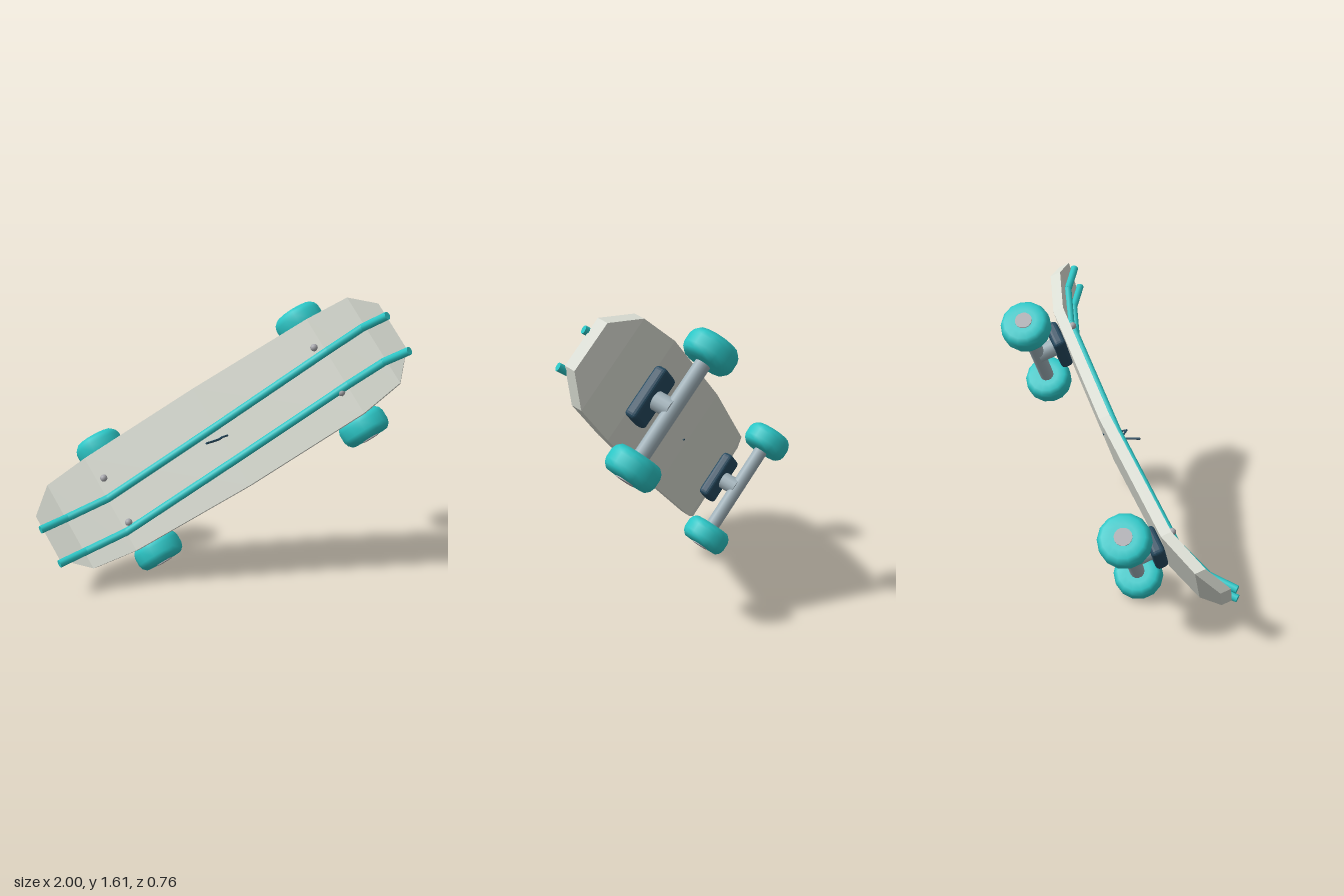
import * as THREE from 'three';
import { RoundedBoxGeometry } from 'three/addons/geometries/RoundedBoxGeometry.js';

function material(name, color, flatShading = false) {
  const m = new THREE.MeshStandardMaterial({ color, flatShading });
  m.name = name;
  return m;
}

function add(parent, name, geometry, mat, x = 0, y = 0, z = 0) {
  const mesh = new THREE.Mesh(geometry, mat);
  mesh.name = name;
  mesh.position.set(x, y, z);
  parent.add(mesh);
  return mesh;
}

// Straight round bars joined through a list of points
function bentBar(parent, name, points, radius, sides, mat) {
  const group = new THREE.Group();
  group.name = name;
  const p = points.map((q) => new THREE.Vector3(...q));
  for (let i = 0; i < p.length - 1; i++) {
    const d = p[i + 1].clone().sub(p[i]);
    const bar = add(group, name + 'Bar', new THREE.CylinderGeometry(radius, radius, d.length(), sides), mat);
    bar.position.copy(p[i]).addScaledVector(d, 0.5);
    bar.quaternion.setFromUnitVectors(new THREE.Vector3(0, 1, 0), d.normalize());
    if (i > 0) add(group, name + 'Joint', new THREE.SphereGeometry(radius, sides, 6), mat, ...points[i]);
  }
  parent.add(group);
}

// Deck lofted through stations of [x, top height, half width]
function deckGeometry() {
  const thickness = 0.06;
  const half = [[0.735, 0.237, 0.3], [0.978, 0.313, 0.268], [1.095, 0.395, 0.138]];
  const stations = [
    ...half.map(([x, y, w]) => [-x, y, w]).reverse(),
    [0, 0.21, 0.314],
    ...half,
  ];
  const rings = stations.map(([x, y, w]) => [
    [x, y, -w], [x, y, w], [x, y - thickness, w], [x, y - thickness, -w],
  ]);
  const pos = [];
  const quad = (a, b, c, d) => pos.push(...a, ...b, ...c, ...a, ...c, ...d);
  for (let i = 0; i < rings.length - 1; i++) {
    for (let k = 0; k < 4; k++) {
      const n = (k + 1) % 4;
      quad(rings[i][k], rings[i][n], rings[i + 1][n], rings[i + 1][k]);
    }
  }
  const first = rings[0], last = rings[rings.length - 1];
  quad(first[3], first[2], first[1], first[0]);
  quad(last[0], last[1], last[2], last[3]);
  const g = new THREE.BufferGeometry();
  g.setAttribute('position', new THREE.Float32BufferAttribute(pos, 3));
  g.computeVertexNormals();
  return g;
}

// Barrel-shaped wheel with flat faces, axis along z
function wheelGeometry() {
  const rim = new THREE.LatheGeometry([
    [0, -0.072], [0.07, -0.072], [0.112, -0.07], [0.132, -0.05], [0.141, -0.025],
    [0.141, 0.025], [0.132, 0.05], [0.112, 0.07], [0.07, 0.072], [0, 0.072],
  ].map(([r, y]) => new THREE.Vector2(r, y)), 14);
  return rim.rotateX(Math.PI / 2);
}

export function createModel() {
  const deckMat = material('paleDeck', 0xdcdfd5, true);
  const teal = material('teal', 0x2bc6c6);
  const navy = material('navy', 0x264a60, true);
  const metal = material('blueGreyMetal', 0x9fb0b8);
  const steel = material('steel', 0xa9a9ae);

  const model = new THREE.Group();
  model.name = 'skateboard';
  const board = new THREE.Group();
  board.name = 'board';
  model.add(board);

  add(board, 'deck', deckGeometry(), deckMat);

  // Two rails along the top of the deck
  for (const z of [-0.055, 0.16]) {
    bentBar(board, 'rail', [
      [-1.095, 0.43, z], [-0.96, 0.326, z + 0.006], [-0.725, 0.25, z + 0.023],
      [0, 0.226, z - 0.006],
      [0.745, 0.252, z - 0.034], [0.965, 0.324, z - 0.03], [1.1, 0.42, z],
    ], 0.022, 10, teal);
  }

  // Thin bent wire through the middle of the deck
  bentBar(board, 'bentWire', [
    [-0.072, 0.325, 0.005], [-0.018, 0.226, 0.009], [0.015, 0.278, 0.015], [0.05, 0.145, 0.01],
  ], 0.006, 6, navy);

  // Trucks: base plate, kingpin, axle, wheels and bolts
  const wheel = wheelGeometry();
  for (const end of [-1, 1]) {
    const truck = new THREE.Group();
    truck.name = end < 0 ? 'rearTruck' : 'frontTruck';
    truck.position.x = 0.69 * end;
    board.add(truck);
    add(truck, 'basePlate', new RoundedBoxGeometry(0.17, 0.075, 0.3, 2, 0.025), navy, 0, 0.138, 0);
    add(truck, 'kingpin', new THREE.CylinderGeometry(0.052, 0.052, 0.12, 14), metal, 0, 0.06, 0);
    add(truck, 'axle', new THREE.CylinderGeometry(0.042, 0.042, 0.66, 14).rotateX(Math.PI / 2), metal);
    for (const side of [-1, 1]) {
      add(truck, 'wheel', wheel, teal, 0, 0, 0.3465 * side);
      add(truck, 'axleCap', new THREE.CylinderGeometry(0.048, 0.048, 0.012, 14).rotateX(Math.PI / 2),
        steel, 0, 0, 0.418 * side);
      add(truck, 'bolt', new THREE.SphereGeometry(0.021, 10, 8), steel, 0, 0.25, 0.143 * side);
    }
  }

  // Tilted pose with the deck top turned to the front
  board.rotation.set(1.147, 0, 0.571, 'ZYX');
  board.position.set(0.071, 0.773, -0.0925);
  return model;
}
